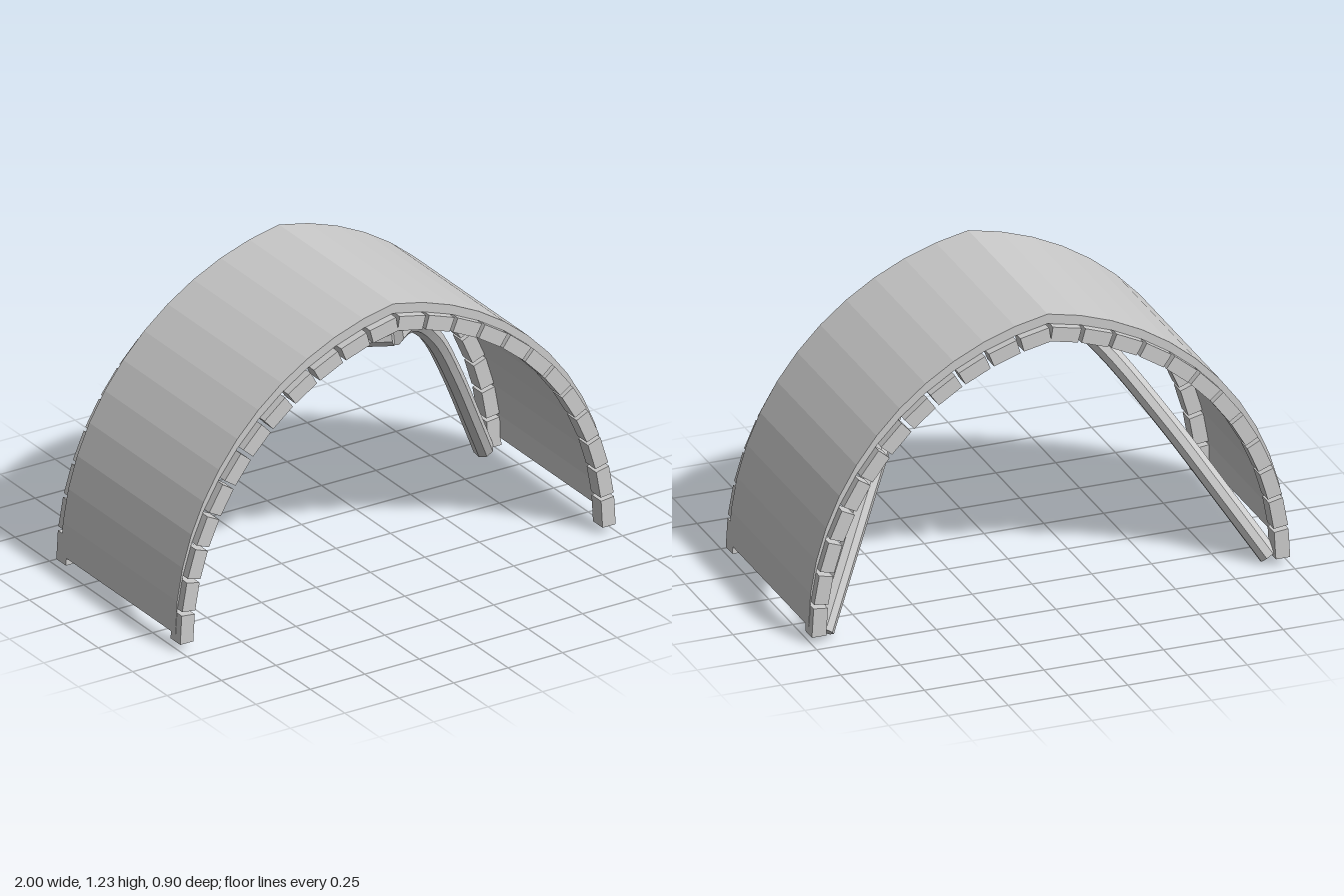
import * as THREE from 'three';

const material = new THREE.MeshStandardMaterial({ color: 0xcccccc, flatShading: true, side: THREE.DoubleSide });

// Pointed arch: each half is a circle whose centre lies past the middle
const OFFSET = 0.179, RADIUS = 1 + OFFSET, STEPS = 12;
const SWEEP = Math.acos(OFFSET / RADIUS);
const BLOCK_BASE = 0.024, SHELL_BASE = 0.065;

function archPoint(t, base, inset = 0) {
  const a = t * SWEEP, r = RADIUS - inset;
  return new THREE.Vector2(r * Math.cos(a) - OFFSET, base + r * Math.sin(a));
}

function prism(points, z0, z1, name) {
  const geometry = new THREE.ExtrudeGeometry(new THREE.Shape(points), { depth: z1 - z0, bevelEnabled: false });
  geometry.translate(0, 0, z0);
  const mesh = new THREE.Mesh(geometry, material);
  mesh.name = name;
  return mesh;
}

const mirrored = (points, side) => points.map(p => new THREE.Vector2(p.x * side, p.y));

// Vault skin: a faceted arch and the same arch lowered, so it thins toward the feet
function vaultShell() {
  const outer = [], inner = [];
  for (let i = 0; i <= STEPS; i++) {
    outer.push(archPoint(i / STEPS, SHELL_BASE));
    inner.push(archPoint(i / STEPS, BLOCK_BASE));
  }
  inner[0].set(0.994, SHELL_BASE);
  const across = half => [...half, ...mirrored(half.slice(0, -1), -1).reverse()];
  return prism([...across(outer), ...across(inner).reverse()], -0.415, 0.415, 'vaultShell');
}

// Row of separate wedge stones along one end of the vault
function stoneArch(z0, z1, name) {
  const group = new THREE.Group();
  group.name = name;
  const gap = 0.06 / STEPS;
  for (const side of [1, -1]) {
    for (let i = 0; i < STEPS; i++) {
      const t0 = i / STEPS + gap, t1 = (i + 1) / STEPS - gap;
      const corners = [
        archPoint(t0, BLOCK_BASE), archPoint(t1, BLOCK_BASE),
        archPoint(t1, BLOCK_BASE, 0.06), archPoint(t0, BLOCK_BASE, 0.06),
      ];
      group.add(prism(mirrored(corners, side), z0, z1, 'archStone'));
    }
  }
  return group;
}

// Curved rib from a back foot to the front crown, straight in plan
function diagonalRib(side) {
  const profile = [[0.93, 0.028], [0.8, 0.24], [0.6, 0.56], [0.4, 0.84], [0.2, 1.03], [0.1, 1.078], [0, 1.095]];
  const path = new THREE.CatmullRomCurve3(profile.map(([x, y]) =>
    new THREE.Vector3(side * x, y, 0.42 - 0.82 * x / 0.93)));
  const section = new THREE.Shape();
  for (let i = 0; i < 8; i++) {
    const a = (i + 0.5) * Math.PI / 4;
    section[i ? 'lineTo' : 'moveTo'](0.041 * Math.cos(a), 0.041 * Math.sin(a));
  }
  const geometry = new THREE.ExtrudeGeometry(section, { steps: 24, extrudePath: path, bevelEnabled: false });
  const mesh = new THREE.Mesh(geometry, material);
  mesh.name = side > 0 ? 'leftDiagonalRib' : 'rightDiagonalRib';
  return mesh;
}

export function createModel() {
  const model = new THREE.Group();
  model.name = 'ribbedVault';
  model.add(
    vaultShell(),
    stoneArch(0.38, 0.45, 'frontStoneArch'),
    stoneArch(-0.45, -0.38, 'backStoneArch'),
    diagonalRib(1),
    diagonalRib(-1),
  );
  return model;
}
